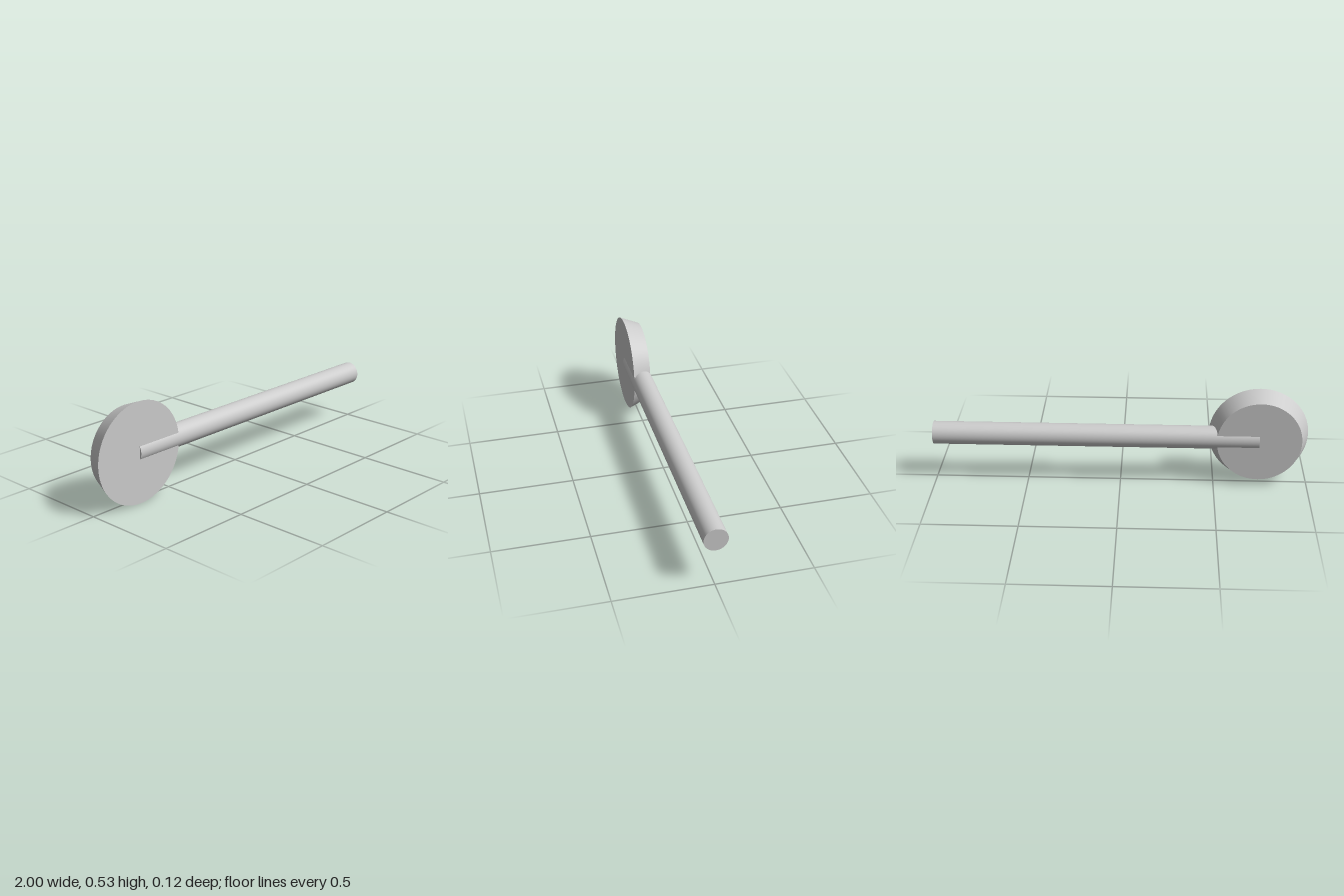
import * as THREE from 'three';

export function createModel() {
  const group = new THREE.Group();
  const material = new THREE.MeshStandardMaterial({ color: 0xcccccc });
  const headRadius = 0.265;
  const headX = -1 + headRadius;

  // Tapered round head, wide face to the front
  const head = new THREE.Mesh(new THREE.CylinderGeometry(headRadius, 0.224, 0.102, 64), material);
  head.name = 'head';
  head.rotation.x = Math.PI / 2;
  head.position.set(headX, headRadius, 0);
  group.add(head);

  // Round handle running from the centre of the head
  const length = 1 - headX;
  const handle = new THREE.Mesh(new THREE.CylinderGeometry(0.061, 0.061, length, 64), material);
  handle.name = 'handle';
  handle.rotation.z = -Math.PI / 2;
  handle.position.set(headX + length / 2, headRadius, 0);
  group.add(handle);

  return group;
}
